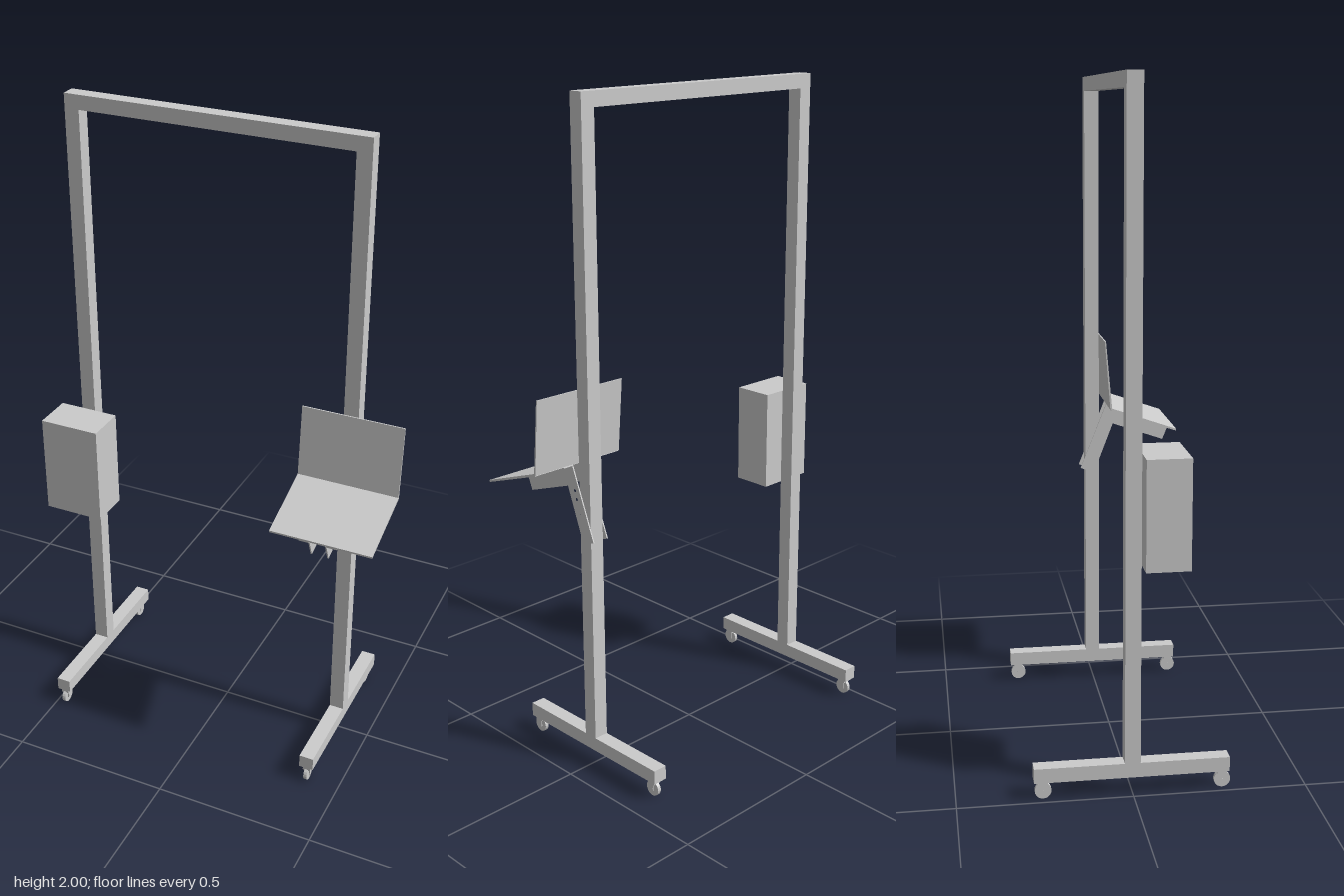
import * as THREE from 'three';

const grey = new THREE.MeshStandardMaterial({ color: 0xcccccc, flatShading: true });
const Z = -0.002; // depth of the frame's centre line

export function createModel() {
  const model = new THREE.Group();

  const add = (name, geometry, parent = model) => {
    const mesh = new THREE.Mesh(geometry, grey);
    mesh.name = name;
    parent.add(mesh);
    return mesh;
  };
  const box = (name, w, h, d, x, y, z, parent) =>
    add(name, new THREE.BoxGeometry(w, h, d).translate(x, y, z), parent);

  // Extrudes a side profile of [z, y] points across x, centred on x
  const sideProfile = (name, points, width, x, holes = [], parent = model) => {
    const shape = new THREE.Shape(points.map(([z, y]) => new THREE.Vector2(z, y)));
    for (const [z, y] of holes) {
      shape.holes.push(new THREE.Path().absarc(z, y, 0.0045, 0, Math.PI * 2, true));
    }
    const geometry = new THREE.ExtrudeGeometry(shape, { depth: width, bevelEnabled: false, curveSegments: 6 });
    return add(name, geometry.rotateY(-Math.PI / 2).translate(x + width / 2, 0, 0), parent);
  };

  // Caster: swivel block, fork cheeks and a thin wheel
  const caster = (x, z) => {
    const group = new THREE.Group();
    group.name = 'caster';
    group.position.set(x, 0, z);
    model.add(group);
    box('swivelBlock', 0.024, 0.014, 0.026, 0, 0.048, 0, group);
    for (const side of [-1, 1]) box('forkCheek', 0.003, 0.026, 0.016, side * 0.0085, 0.032, 0, group);
    add('wheel', new THREE.CylinderGeometry(0.024, 0.024, 0.011, 20).rotateZ(Math.PI / 2).translate(0, 0.024, 0), group);
    add('axle', new THREE.CylinderGeometry(0.004, 0.004, 0.021, 8).rotateZ(Math.PI / 2).translate(0, 0.024, 0), group);
  };

  // Portal frame: two posts on long feet, joined by a top beam
  const left = 0.397, right = -0.471, bar = 0.045;
  for (const x of [left, right]) {
    box('post', bar, 1.903, bar, x, 1.0485, Z);
    box('foot', bar, 0.043, 0.56, x, 0.0765, Z);
    for (const z of [-0.255, 0.26]) caster(x, z);
  }
  box('topBeam', left - right - bar, 0.043, bar, (left + right) / 2, 1.9785, Z);

  // Cabinet on the right post
  box('cabinet', 0.19, 0.314, 0.125, -0.47, 0.84, 0.083);

  // Open two-leaf panel: upright screen and sloping tray
  sideProfile('screen', [[0.047, 0.958], [0.027, 1.181], [0.023, 1.181], [0.041, 0.958]], 0.312, 0.405);
  sideProfile('tray', [[0.255, 0.884], [0.256, 0.89], [0.046, 0.963], [0.043, 0.956]], 0.312, 0.405);

  // Bent bracket plates either side of the post, flanged under the tray
  const plate = [[0.254, 0.882], [0.232, 0.829], [0.066, 0.887], [0.003, 0.723], [-0.041, 0.739], [0.045, 0.954]];
  const holes = [[0.035, 0.88], [0.028, 0.855], [0.012, 0.815], [0.002, 0.785], [-0.01, 0.755]];
  for (const side of [-1, 1]) {
    sideProfile('bracketPlate', plate, 0.004, left + side * 0.0255, holes);
    sideProfile('bracketFlange', [[0.253, 0.88], [0.254, 0.884], [0.046, 0.956], [0.045, 0.952]],
      0.032, left + side * 0.042);
  }

  return model;
}
